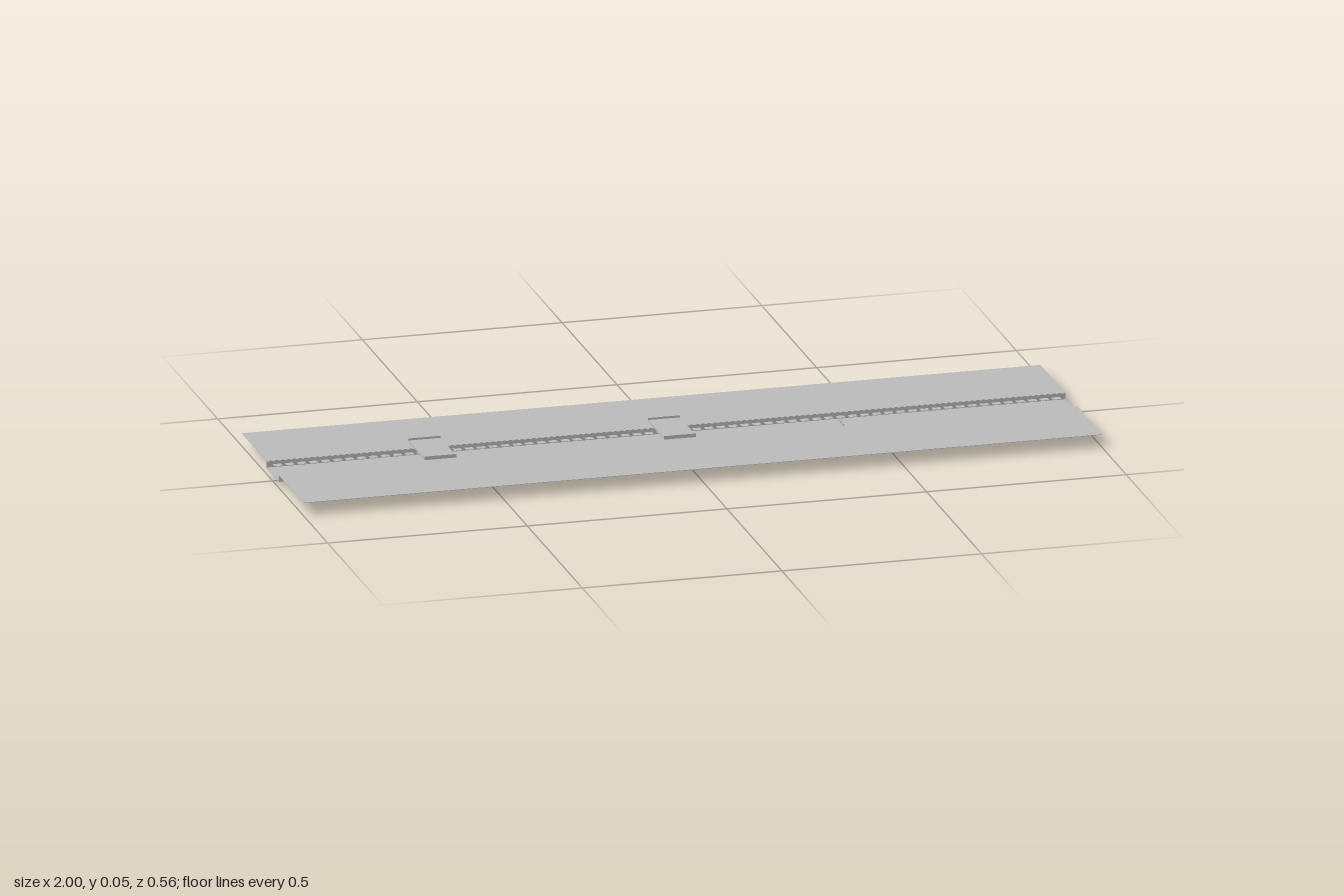
import * as THREE from 'three';
import { RoundedBoxGeometry } from 'three/addons/geometries/RoundedBoxGeometry.js';

export function createModel() {
  const model = new THREE.Group();
  model.name = 'canalWithBridges';
  const grey = new THREE.MeshStandardMaterial({ color: 0xbcbcbc });
  grey.name = 'concrete grey';

  // Box given by its centre and size
  function box(parent, name, [x, y, z], [w, h, d]) {
    const mesh = new THREE.Mesh(new THREE.BoxGeometry(w, h, d), grey);
    mesh.name = name;
    mesh.position.set(x, y, z);
    parent.add(mesh);
    return mesh;
  }

  // Sunken channel floor
  box(model, 'channelFloor', [0, 0.0162, 0], [2, 0.0016, 0.114]);

  for (const side of [1, -1]) {
    const name = side > 0 ? 'front' : 'back';
    // Bank and channel wall
    box(model, name + 'Bank', [0, 0.0325, side * 0.168], [2, 0.001, 0.224]);
    box(model, name + 'Wall', [0, 0.0242, side * 0.0558], [2, 0.0164, 0.0026]);

    // Row of planks along the foot of the wall
    const planks = new THREE.Group();
    planks.name = name + 'Planks';
    for (let i = 0; i < 66; i++) {
      box(planks, 'plank', [-0.975 + i * 0.03, 0.024, side * 0.0445], [0.02, 0.0015, 0.017]);
    }
    model.add(planks);
  }

  // Row of small blocks across the channel
  const crossing = new THREE.Group();
  crossing.name = 'crossingBlocks';
  for (let i = 0; i < 11; i++) {
    box(crossing, 'block', [0.43, 0.0195, -0.034 + i * 0.0068], [0.005, 0.003, 0.005]);
  }
  model.add(crossing);

  // Bridges: deck, raised edges and footings
  for (const x of [-0.6, 0]) {
    const bridge = new THREE.Group();
    bridge.name = 'bridge';
    bridge.position.x = x;
    box(bridge, 'deck', [0, 0.047, 0], [0.08, 0.004, 0.148]);
    for (const side of [1, -1]) {
      box(bridge, 'parapet', [0, 0.0495, side * 0.073], [0.08, 0.009, 0.003]);
      const footing = new THREE.Mesh(new RoundedBoxGeometry(0.09, 0.015, 0.016, 2, 0.002), grey);
      footing.name = 'footing';
      footing.position.set(0, 0.0075, side * 0.068);
      bridge.add(footing);
    }
    model.add(bridge);
  }

  return model;
}
